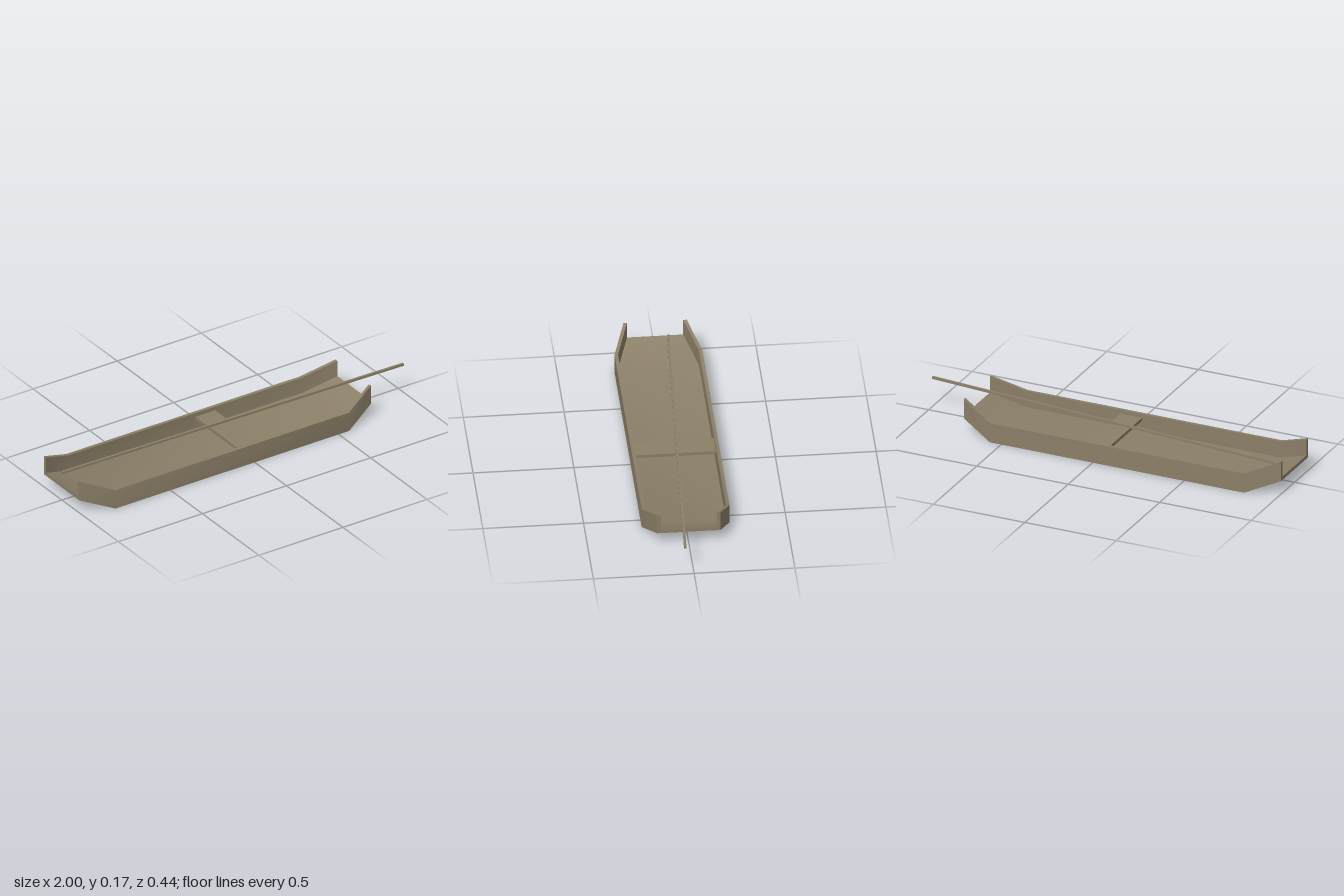
import * as THREE from 'three';
import { toCreasedNormals } from 'three/addons/utils/BufferGeometryUtils.js';

const T = 0.0175; // plank thickness

// Stations along the hull: x, base height, outer half width
const STATIONS = [
  [-1, 0.071, 0.157],
  [-0.828, 0, 0.218],
  [0.562, 0, 0.218],
  [0.732, 0.071, 0.157],
];
const WALL = 0.104;

// U-shaped section, from the outer +z corner round to the outer -z corner
function section([x, y, w]) {
  return [[w, 0], [w, WALL], [w - T, WALL], [w - T, T], [T - w, T], [T - w, WALL], [-w, WALL], [-w, 0]]
    .map(([z, h]) => [x, y + h, z]);
}

function hullGeometry() {
  const rings = STATIONS.map(section);
  const pos = [];
  const quad = (a, b, c, d) => pos.push(...a, ...b, ...c, ...a, ...c, ...d);
  for (let s = 0; s < rings.length - 1; s++) {
    for (let i = 0; i < 8; i++) {
      const j = (i + 1) % 8;
      quad(rings[s][i], rings[s + 1][i], rings[s + 1][j], rings[s][j]);
    }
  }
  // Cut ends: two walls and the floor edge
  const first = rings[0], last = rings[rings.length - 1];
  for (const [a, b, c, d] of [[0, 1, 2, 3], [4, 5, 6, 7], [0, 3, 4, 7]]) {
    quad(first[a], first[b], first[c], first[d]);
    quad(last[d], last[c], last[b], last[a]);
  }
  const geo = new THREE.BufferGeometry();
  geo.setAttribute('position', new THREE.Float32BufferAttribute(pos, 3));
  return toCreasedNormals(geo, 0.6);
}

export function createModel() {
  const group = new THREE.Group();
  group.name = 'flatBoat';
  const wood = new THREE.MeshStandardMaterial({ color: 0x8b7f68 });
  wood.name = 'weathered wood';

  const add = (name, geo) => {
    const mesh = new THREE.Mesh(geo, wood);
    mesh.name = name;
    group.add(mesh);
    return mesh;
  };

  add('hull', hullGeometry());

  // Cross bench between the walls
  add('bench', new THREE.BoxGeometry(0.117, 0.017, 0.402)).position.set(-0.012, 0.075, 0);

  // Long punting pole lying at a slant over the bench
  const a = new THREE.Vector3(-0.96, 0.114, -0.061);
  const b = new THREE.Vector3(1, 0.158, 0.044);
  const pole = add('pole', new THREE.BoxGeometry(0.012, 0.012, a.distanceTo(b)));
  pole.position.copy(a).add(b).multiplyScalar(0.5);
  pole.lookAt(b);

  return group;
}
